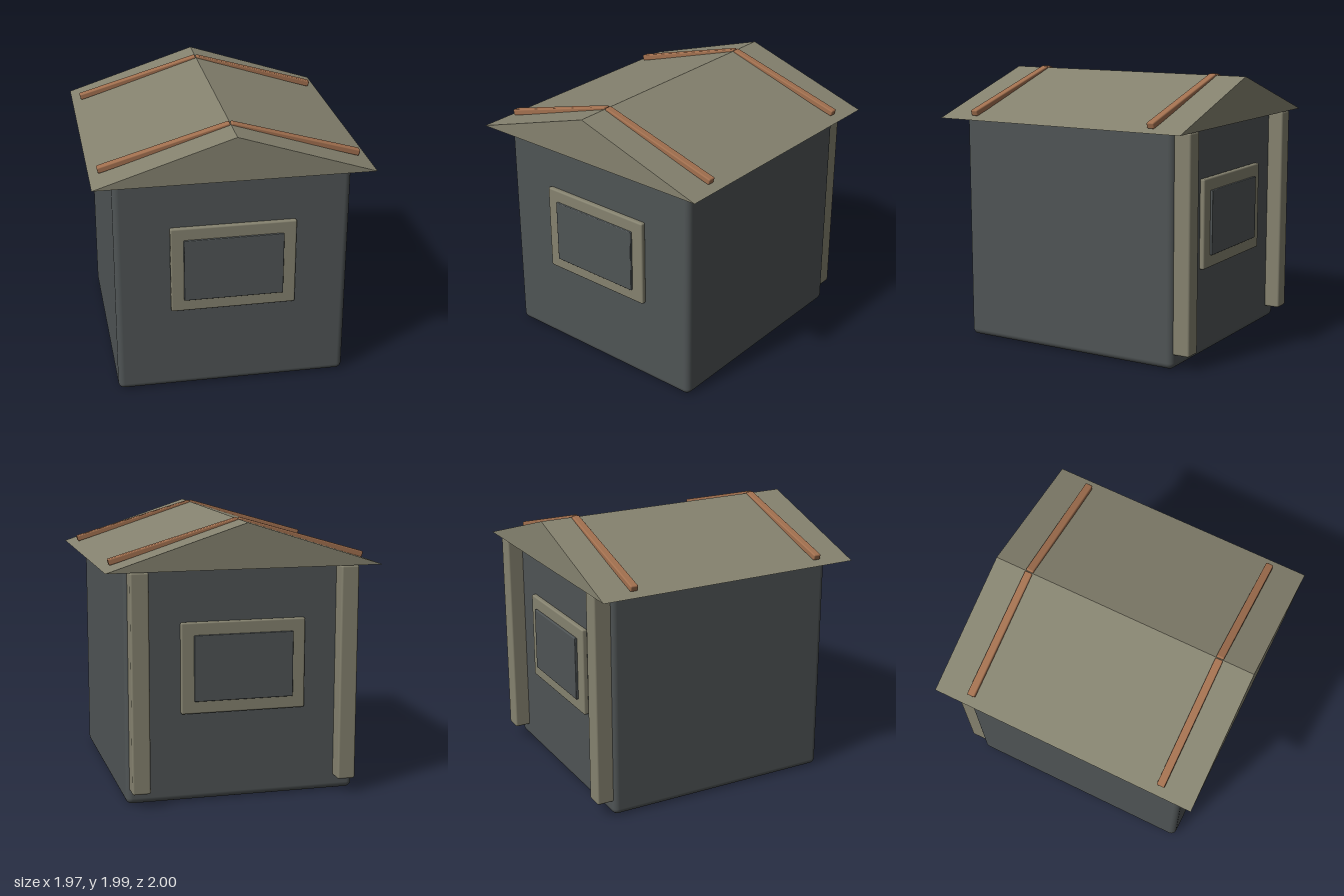
import * as THREE from 'three';
import { RoundedBoxGeometry } from 'three/addons/geometries/RoundedBoxGeometry.js';

export function createModel() {
  const model = new THREE.Group();
  model.name = 'shed';

  const mat = (name, color) => {
    const m = new THREE.MeshStandardMaterial({ color });
    m.name = name;
    return m;
  };
  const wall = mat('slate grey', 0x4f5455);
  const trim = mat('olive grey', 0x85826f);
  const wood = mat('brown wood', 0xa2704f);
  trim.side = THREE.DoubleSide; // the roof is an open shell

  // Box with softened edges, placed by its centre
  const block = (name, material, size, centre, radius, segments = 2) => {
    const mesh = new THREE.Mesh(new RoundedBoxGeometry(...size, segments, radius), material);
    mesh.name = name;
    mesh.position.set(...centre);
    model.add(mesh);
    return mesh;
  };

  // Body, its top tucked under the roof
  block('walls', wall, [1.68, 1.71, 1.746], [0, 0.86, 0], 0.045, 4);

  // Gable roof: two slopes and two gable ends, open below
  const W = 0.985, D = 0.998, EAVE = 1.667, RIDGE = 1.985;
  const [fl, fr, ft, bl, br, bt] = [D, -D].flatMap((z) => [[-W, EAVE, z], [W, EAVE, z], [0, RIDGE, z]]);
  const triangles = [
    fl, fr, ft,
    br, bl, bt,
    fr, br, bt, fr, bt, ft,
    bl, fl, ft, bl, ft, bt,
  ];
  const roofGeometry = new THREE.BufferGeometry();
  roofGeometry.setAttribute('position', new THREE.Float32BufferAttribute(triangles.flat(), 3));
  roofGeometry.computeVertexNormals();
  const roof = new THREE.Mesh(roofGeometry, trim);
  roof.name = 'roof';
  model.add(roof);

  // Framed windows, front and back
  for (const [side, s] of [['front', 1], ['back', -1]]) {
    block(side + 'WindowFrame', trim, [0.9, 0.65, 0.04], [0, 0.97, s * 0.889], 0.012);
    block(side + 'WindowPane', wall, [0.716, 0.47, 0.04], [0, 0.97, s * 0.907], 0.006);
  }

  for (const s of [1, -1]) {
    const side = s > 0 ? 'left' : 'right';

    // Posts against the back wall
    block(side + 'BackPost', trim, [0.13, 1.555, 0.15], [s * 0.752, 0.8875, -0.914], 0.014);

    // Battens lying on the roof slope
    for (const [end, z] of [['Front', 0.738], ['Back', -0.738]]) {
      const batten = block(side + end + 'Batten', wood, [0.96, 0.045, 0.057], [s * 0.462, 1.844, z], 0.01);
      batten.rotation.z = -s * 0.283;
    }
  }

  return model;
}
